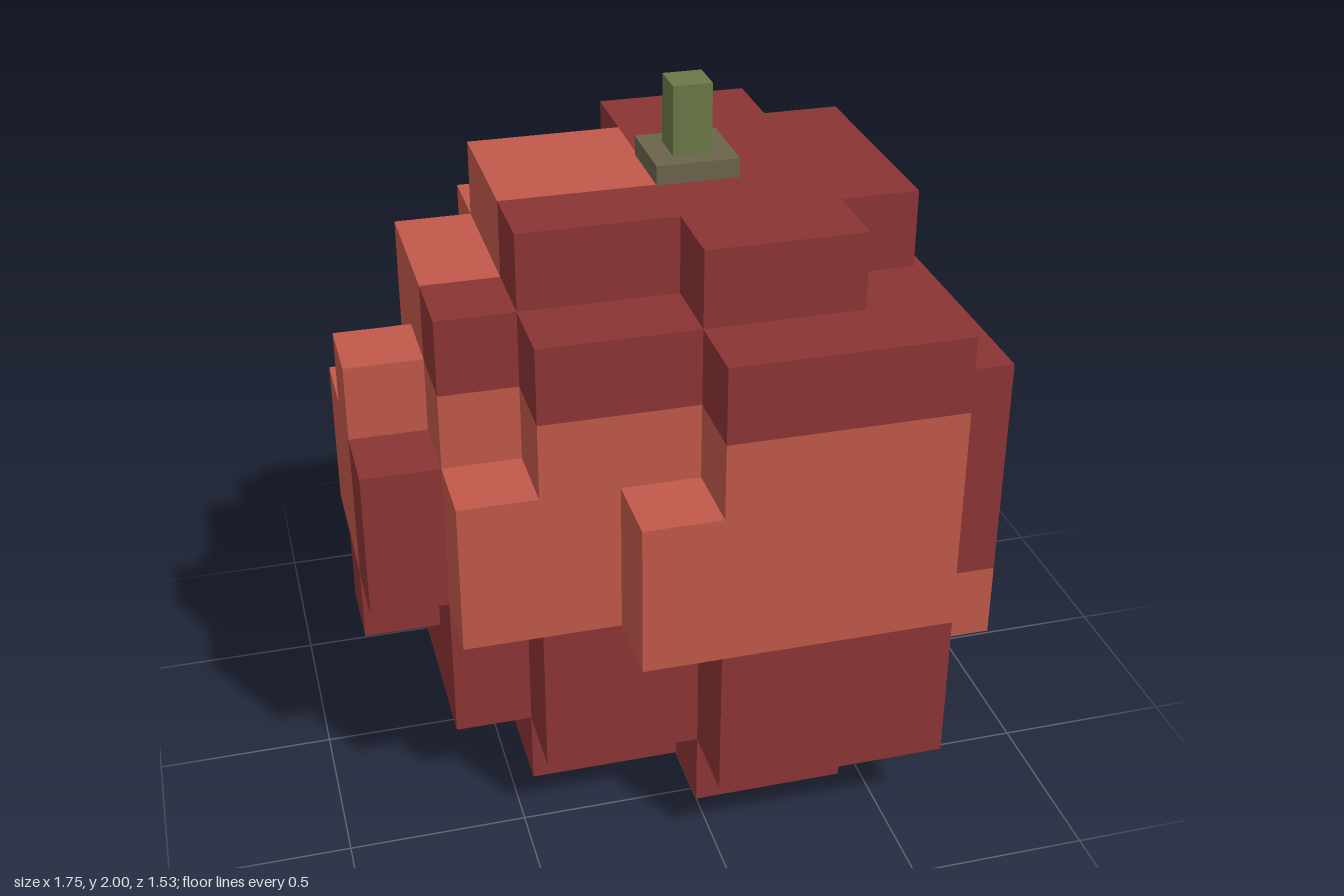
import * as THREE from 'three';
import { mergeGeometries } from 'three/addons/utils/BufferGeometryUtils.js';

const U = 1.75 / 8; // size of one cell

export function createModel() {
  const group = new THREE.Group();
  const material = (name, color) => {
    const m = new THREE.MeshStandardMaterial({ color });
    m.name = name;
    return m;
  };
  const light = material('light red', 0xc1594a);
  const dark = material('dark red', 0x8b3434);
  const green = material('stem green', 0x6b7848);
  const olive = material('collar olive', 0x6b644b);

  // each block is [x0, x1, y0, y1, z0, z1] in cells, counted from the right, bottom, back corner
  const part = (name, mat, blocks) => {
    const boxes = blocks.map(([x0, x1, y0, y1, z0, z1]) =>
      new THREE.BoxGeometry((x1 - x0) * U, (y1 - y0) * U, (z1 - z0) * U).translate(
        ((x0 + x1) / 2 - 4) * U, ((y0 + y1) / 2) * U, ((z0 + z1) / 2 - 3.5) * U));
    const mesh = new THREE.Mesh(mergeGeometries(boxes), mat);
    mesh.name = name;
    group.add(mesh);
  };

  // left half of the fruit
  part('leftRearUpperBody', dark, [[4, 7, 3, 7, 1, 4]]);
  part('leftRearLowerBody', light, [[4, 7, 1, 3, 1, 4]]);
  part('leftBackSlab', light, [[4, 7, 1, 7, 0, 1]]);
  part('leftFrontBand', light, [[4, 7, 3, 6, 4, 7]]);
  part('leftFrontBody', dark, [[4, 7, 6, 7, 4, 7], [4, 7, 1, 3, 4, 7]]);
  part('leftTopCap', dark, [[4, 7, 7, 8, 2, 5], [4, 6, 7, 8, 1, 2], [4, 6, 7, 8, 5, 6]]);
  part('leftRearBottomCap', light, [[4, 7, 0, 1, 2, 4], [4, 6, 0, 1, 1, 2]]);
  part('leftFrontBottomCap', dark, [[4, 7, 0, 1, 4, 5], [4, 6, 0, 1, 5, 6]]);
  part('leftSideSlab', dark, [[7, 8, 3, 6, 1, 6]]);
  part('leftSideSlabBase', light, [[7, 8, 2, 3, 1, 6]]);

  // right half, stepped towards its side
  part('rightRearUpperBody', light, [[2, 4, 3, 7, 1, 4], [1, 2, 3, 7, 2, 4], [1, 2, 3, 5, 1, 2]]);
  part('rightFrontBand', light, [[2, 4, 3, 6, 4, 6], [1, 2, 3, 6, 4, 5], [1, 2, 3, 5, 5, 6]]);
  part('rightFrontUpperBody', dark, [[2, 4, 6, 7, 4, 6], [1, 2, 6, 7, 4, 5]]);
  part('rightLowerBody', dark, [[2, 4, 1, 3, 1, 6], [1, 2, 1, 3, 2, 5]]);
  part('rightBackStep', light, [[3, 4, 3, 5, 0, 1]]);
  part('rightFrontStep', light, [[3, 4, 3, 5, 6, 7]]);
  part('rightRearTopCap', light, [[2, 4, 7, 8, 2, 4]]);
  part('rightFrontTopCap', dark, [[2, 4, 7, 8, 4, 5]]);
  part('rightBottomCap', dark, [[2, 4, 0, 1, 2, 5]]);
  part('rightSideSteps', light, [[0, 1, 3, 5, 2, 4], [0, 1, 5, 6, 3, 4]]);
  part('rightSideDarkSteps', dark, [[0, 1, 3, 5, 4, 5], [0, 1, 2, 3, 3, 4]]);

  // stem and collar
  part('stemCollar', olive, [[3.97, 5.03, 8, 8.25, 2.97, 4.03]]);
  part('stem', green, [[4.25, 4.75, 8.25, 2 / U, 3.25, 3.75]]);

  return group;
}
